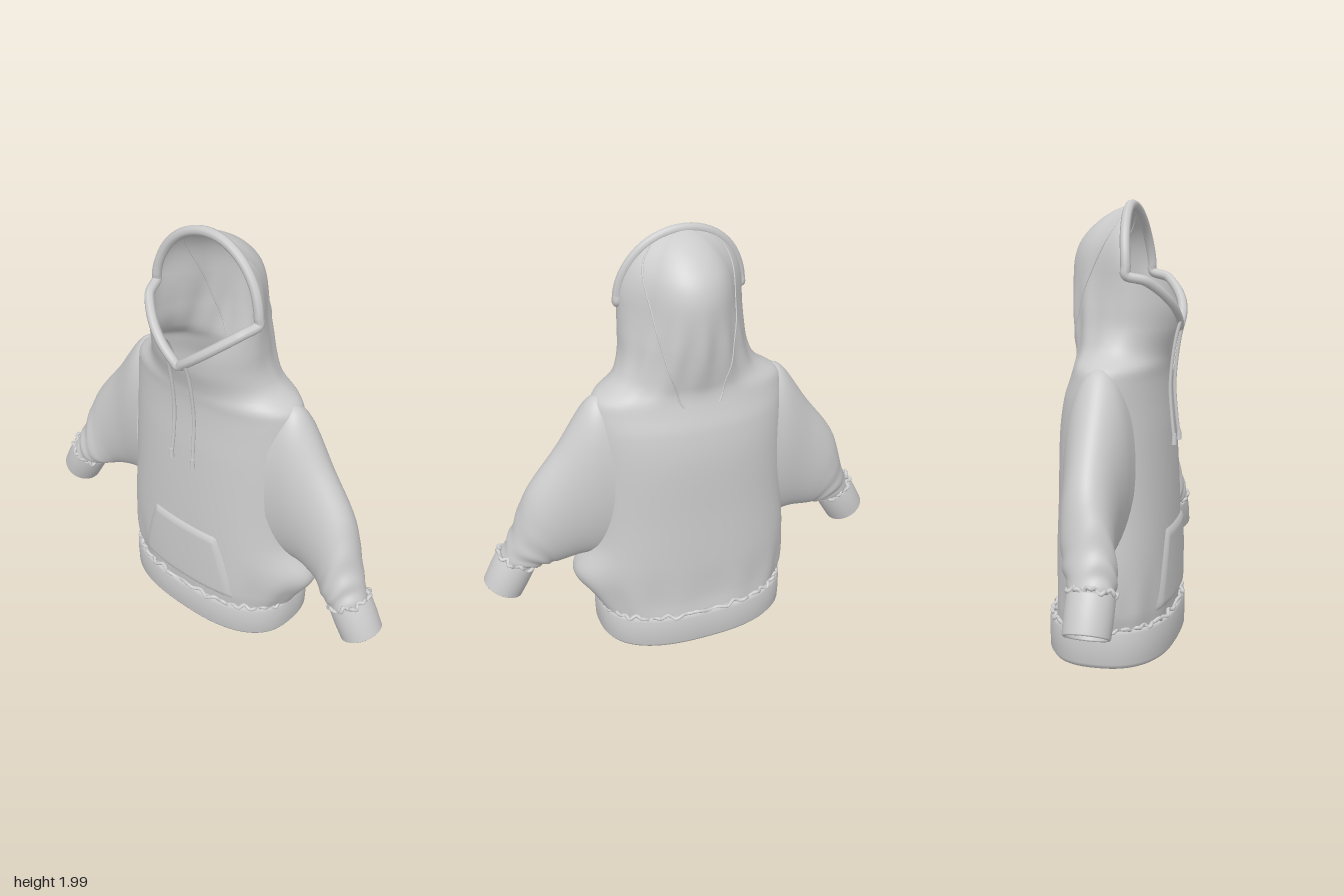
import * as THREE from 'three';

const V = (x, y, z) => new THREE.Vector3(x, y, z);
const mat = new THREE.MeshStandardMaterial({ color: 0xcccccc, roughness: 0.9, side: THREE.DoubleSide });
const { sin, cos, abs, sign, PI, min, max, exp } = Math;
const HOOD = { chin: 1.45, corner: 1.68, top: 1.978, halfWidth: 0.28 };

// Torso and hood profile: y, half width, front z, back z, centre z, roundness
const PROFILE = [
  [0.16, 0.45, 0.262, -0.26, 0, 2.4],
  [0.25, 0.472, 0.268, -0.25, 0, 2.4],
  [0.45, 0.475, 0.268, -0.25, 0, 2.4],
  [0.7, 0.46, 0.262, -0.245, 0, 2.3],
  [1.0, 0.45, 0.247, -0.24, 0, 2.2],
  [1.15, 0.45, 0.235, -0.22, 0, 2.1],
  [1.24, 0.445, 0.232, -0.192, 0.005, 2],
  [1.29, 0.425, 0.235, -0.178, 0.01, 2],
  [1.33, 0.36, 0.24, -0.175, 0.02, 2],
  [1.37, 0.32, 0.25, -0.182, 0.04, 2],
  [1.45, 0.29, 0.272, -0.195, 0.07, 2],
  [1.55, 0.283, 0.28, -0.204, 0.085, 2],
  [1.68, 0.28, 0.26, -0.205, 0.092, 2],
  [1.76, 0.28, 0.26, -0.195, 0.088, 2],
  [1.83, 0.28, 0.26, -0.165, 0.08, 2],
  [1.9, 0.28, 0.26, -0.1, 0.072, 2],
  [1.95, 0.28, 0.26, -0.025, 0.065, 2],
  [1.978, 0.28, 0.26, 0.045, 0.06, 2],
];

// Smooth interpolation through the rows of a table, keyed on column 0
function sample(table, y) {
  const n = table.length;
  let i = 0;
  while (i < n - 2 && y > table[i + 1][0]) i++;
  const p = table[i], q = table[i + 1], h = q[0] - p[0], t = (y - p[0]) / h;
  const slope = (k, c) => {
    const a = table[max(0, k - 1)], b = table[min(n - 1, k + 1)];
    return (b[c] - a[c]) / (b[0] - a[0]);
  };
  return p.map((v, c) => c === 0 ? y :
    (2 * t ** 3 - 3 * t * t + 1) * v + (t ** 3 - 2 * t * t + t) * h * slope(i, c) +
    (3 * t * t - 2 * t ** 3) * q[c] + (t ** 3 - t * t) * h * slope(i + 1, c));
}

// Skin over rows of points; touching row ends share a normal
function loft(rows) {
  const cols = rows[0].length, idx = [];
  for (let r = 0; r < rows.length - 1; r++)
    for (let c = 0; c < cols - 1; c++) {
      const a = r * cols + c, d = a + cols;
      idx.push(a, a + 1, d, a + 1, d + 1, d);
    }
  const g = new THREE.BufferGeometry().setFromPoints(rows.flat());
  g.setIndex(idx);
  g.computeVertexNormals();
  const nor = g.attributes.normal;
  rows.forEach((row, r) => {
    if (row[0].distanceTo(row[cols - 1]) > 1e-4) return;
    const a = r * cols, b = a + cols - 1;
    const m = V().fromBufferAttribute(nor, a).add(V().fromBufferAttribute(nor, b)).normalize();
    nor.setXYZ(a, m.x, m.y, m.z);
    nor.setXYZ(b, m.x, m.y, m.z);
  });
  return g;
}

function add(parent, name, geometry) {
  const m = new THREE.Mesh(geometry, mat);
  m.name = name;
  parent.add(m);
  return m;
}
const range = (n, f) => Array.from({ length: n + 1 }, (_, i) => f(i / n));
const spow = (v, e) => sign(v) * abs(v) ** e;
const tube = (pts, radius, segs, closed = false) =>
  new THREE.TubeGeometry(new THREE.CatmullRomCurve3(pts, closed, 'centripetal'), segs, radius, 8, closed);

// Angle at which the face opening starts at height y
function openingAngle(y) {
  if (y <= HOOD.chin) return 0;
  if (y >= HOOD.corner) return PI / 2;
  const x = HOOD.halfWidth * (y - HOOD.chin) / (HOOD.corner - HOOD.chin);
  return Math.asin(min(1, x / sample(PROFILE, y)[1]));
}

// Point on the torso/hood surface; angle 0 faces front, PI faces back
function surface(y, a) {
  let [, w, zf, zb, zc, n] = sample(PROFILE, y);
  if (y > HOOD.corner)
    w = HOOD.halfWidth * Math.sqrt(max(0, 1 - ((y - HOOD.corner) / (HOOD.top - HOOD.corner)) ** 2));
  const s = sin(a), c = cos(a), back = max(0, -c);
  const narrow = 1 - 0.2 * THREE.MathUtils.smoothstep(y, 1.4, 1.75) * THREE.MathUtils.smoothstep(back, 0, 0.6);
  // soft folds above the hem and down the back of the hood
  const fold = 1 + 0.012 * sin(13 * a + 1) * exp(-(((y - 0.25) / 0.13) ** 2)) +
    0.025 * cos(14 * (a - PI)) * back * exp(-(((y - 1.48) / 0.14) ** 2));
  const pouch = 0.09 * exp(-(((y - 0.38) / 0.12) ** 2)) * max(0, s) ** 6;
  return V(w * spow(s, 2 / n) * narrow * fold + pouch, y,
    zc + (c > 0 ? zf - zc : zc - zb) * spow(c, 2 / n) * fold);
}

// Sleeve sections: top x, top y, bottom x, bottom y, centre z, half depth
const SLEEVE = [
  [0, 0.37, 1.3, 0.4, 0.47, 0.01, 0.15],
  [1, 0.46, 1.275, 0.475, 0.475, 0.01, 0.14],
  [2, 0.6, 1.07, 0.54, 0.475, 0.015, 0.122],
  [3, 0.75, 0.86, 0.625, 0.455, 0.03, 0.112],
  [4, 0.83, 0.64, 0.685, 0.44, 0.06, 0.11],
  [5, 0.885, 0.505, 0.74, 0.43, 0.08, 0.09],
];

function makeSleeve() {
  const arm = new THREE.Group();
  add(arm, 'sleeve', loft(range(50, t => {
    const [u, tx, ty, bx, by, zc, hz] = sample(SLEEVE, t * 5);
    const crease = THREE.MathUtils.smoothstep(u, 2.8, 4.3);
    return range(56, k => {
      const a = k * 2 * PI, f = 1 + 0.05 * crease * sin(u * 9 + 2 * sin(a * 2)) * sin(a + 0.5);
      return V((tx + bx) / 2 + (tx - bx) / 2 * cos(a) * f,
        (ty + by) / 2 + (ty - by) / 2 * cos(a) * f, zc + hz * sin(a) * f);
    });
  })));
  // ribbed end band with a wall thickness, and the crumpled gather above it
  const cuff = new THREE.Group();
  cuff.name = 'cuff';
  const outline = [[0.084, 0.07], [0.084, -0.08], [0.09, -0.085], [0.096, -0.08],
    [0.099, 0], [0.098, 0.075], [0.092, 0.082], [0.08, 0.08]];
  add(cuff, 'cuffBand', new THREE.LatheGeometry(outline.map(p => new THREE.Vector2(...p)), 48));
  add(cuff, 'cuffGather', tube(range(59, t => {
    const a = t * 59 / 60 * 2 * PI, r = 0.093 + 0.008 * sin(11 * a);
    return V(r * cos(a), 0.088 + 0.008 * sin(7 * a) + 0.006 * sin(17 * a + 1), r * sin(a));
  }), 0.009, 150, true));
  cuff.position.set(0.857, 0.395, 0.08);
  cuff.quaternion.setFromUnitVectors(V(0, 1, 0), V(-0.47, 0.88, 0).normalize());
  arm.add(cuff);
  return arm;
}

export function createModel() {
  const g = new THREE.Group();
  g.name = 'hoodedSweatshirt';

  // Torso running up into the hood, open at the face
  const levels = [...range(80, t => 0.16 + t * (HOOD.chin - 0.16)),
    ...range(24, t => HOOD.chin + (HOOD.corner - HOOD.chin) * sin(t * PI / 2)).slice(1),
    ...range(30, t => HOOD.corner + (HOOD.top - HOOD.corner) * sin(t * PI / 2)).slice(1)];
  add(g, 'torsoAndHood', loft(levels.map(y => {
    const a0 = openingAngle(y);
    return range(112, t => surface(y, a0 + t * 2 * (PI - a0)));
  })));

  // Rolled rim of the face opening
  const side = [...range(10, t => HOOD.chin + t * (HOOD.corner - HOOD.chin)),
    ...range(14, t => HOOD.corner + (HOOD.top - HOOD.corner) * sin(t * PI / 2)).slice(1)]
    .map(y => surface(y, openingAngle(y)));
  const mirrored = side.slice(1, -1).reverse().map(p => V(-p.x, p.y, p.z));
  add(g, 'hoodRim', tube([...side, ...mirrored], 0.022, 200, true));

  for (const s of [1, -1]) {
    const label = s > 0 ? 'left' : 'right';
    const arm = makeSleeve();
    arm.name = label + 'Sleeve';
    arm.scale.x = s;
    g.add(arm);

    // Seam between the hood's centre and side panels
    add(g, label + 'HoodSeam', tube(range(24, t =>
      surface(1.27 + t * 0.66, PI + s * PI * (0.06 + 0.38 * t))), 0.004, 60));

    // Drawstring with its end tip
    add(g, label + 'Drawstring', tube([V(s * 0.05, 1.475, 0.285), V(s * 0.053, 1.4, 0.266),
      V(s * 0.056, 1.2, 0.243), V(s * 0.058, 1.05, 0.252), V(s * 0.062, 0.94, 0.265)], 0.008, 50));
    const tip = add(g, label + 'DrawstringTip', new THREE.CylinderGeometry(0.009, 0.012, 0.05, 12));
    tip.position.set(s * 0.062, 0.953, 0.264);
  }

  // Front pocket, wrapped over the belly with its edges tucked in
  add(g, 'frontPocket', loft(range(24, v => {
    const y = 0.215 + v * 0.365, half = 0.3 - 0.11 * v ** 1.3;
    const [, w, zf, , zc, n] = sample(PROFILE, y);
    return range(40, u => {
      const x = half * (2 * u - 1), edge = min(1, 14 * min(u, 1 - u, v, 1 - v));
      return V(x, y, zc + (zf - zc) * (1 - (abs(x) / w) ** n) ** (1 / n) - 0.006 + 0.019 * edge);
    });
  })));

  // Hem band with a wall thickness, and the crumpled gather above it
  const ring = (y, off, a) => V((0.462 + off) * spow(sin(a), 2 / 2.5), y, (0.287 + off) * spow(cos(a), 2 / 2.5));
  add(g, 'hemBand', loft([[0.16, -0.035], [0.03, -0.035], [0.012, -0.026], [0.01, -0.012], [0.03, 0],
    [0.1, 0.002], [0.165, 0], [0.177, -0.01], [0.17, -0.04]]
    .map(([y, off]) => range(112, t => ring(y, off, t * 2 * PI)))));
  add(g, 'hemGather', tube(range(159, t => {
    const a = t * 159 / 160 * 2 * PI;
    return ring(0.182 + 0.006 * sin(19 * a) + 0.005 * sin(43 * a + 1), -0.014 + 0.007 * sin(31 * a), a);
  }), 0.009, 400, true));

  return g;
}
